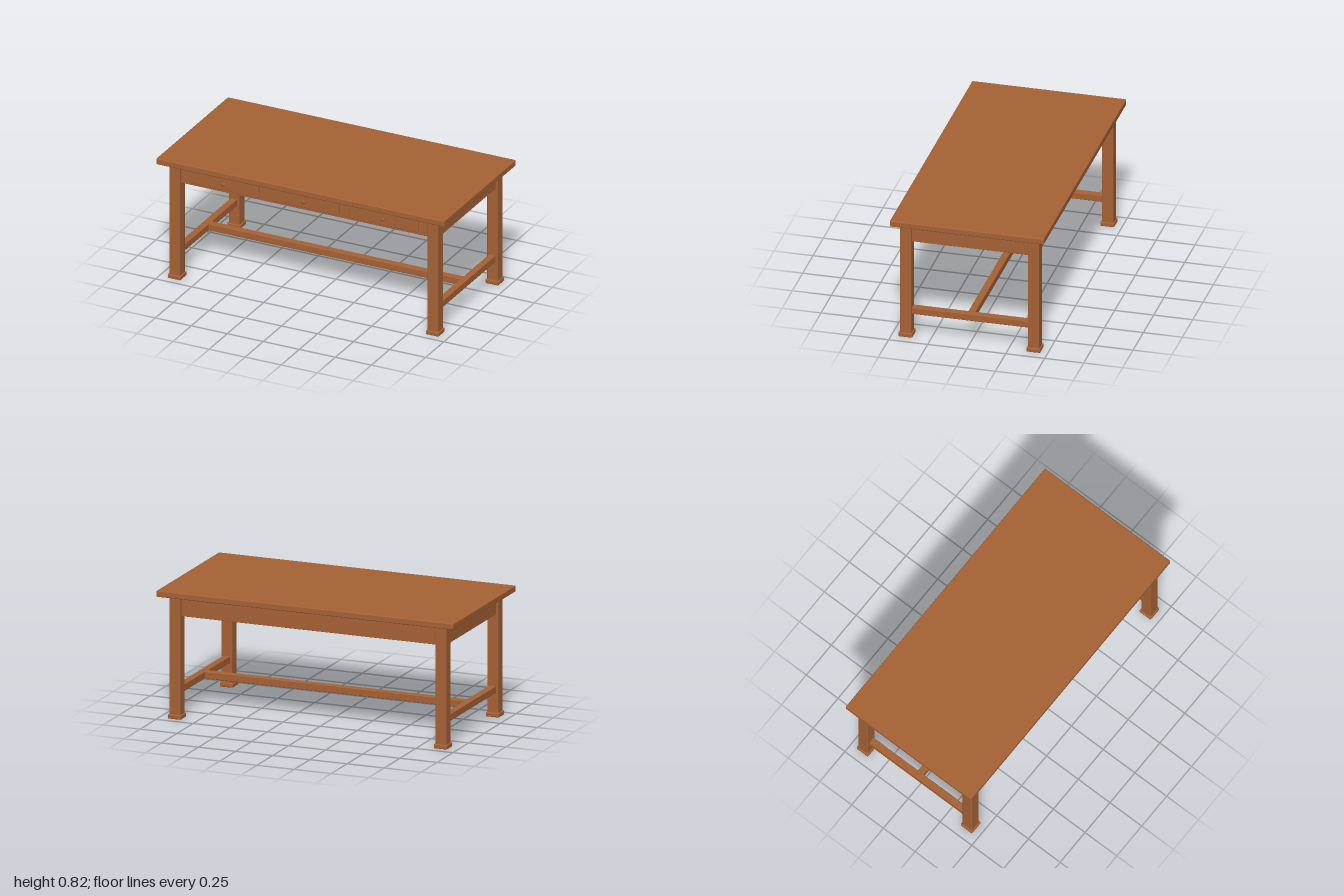
import * as THREE from 'three';
import { RoundedBoxGeometry } from 'three/addons/geometries/RoundedBoxGeometry.js';

export function createModel() {
  const table = new THREE.Group();
  table.name = 'writingTable';
  const wood = new THREE.MeshStandardMaterial({ color: 0xa66235 });
  wood.name = 'warm brown wood';

  // Softly rounded board, placed by its centre
  function board(name, [w, h, d], [x, y, z], radius = 0.004) {
    const mesh = new THREE.Mesh(new RoundedBoxGeometry(w, h, d, 2, radius), wood);
    mesh.name = name;
    mesh.position.set(x, y, z);
    table.add(mesh);
    return mesh;
  }

  // Table top
  board('tableTop', [2, 0.04, 0.988], [0, 0.805, 0], 0.006);

  // Legs with wider block feet
  const legX = 0.896, legZ = 0.41;
  for (const sx of [-1, 1]) {
    for (const sz of [-1, 1]) {
      board('leg', [0.074, 0.765, 0.074], [sx * legX, 0.403, sz * legZ], 0.006);
      board('foot', [0.089, 0.028, 0.089], [sx * legX, 0.014, sz * legZ], 0.006);
    }
    // Side rails between the legs
    board('sideApron', [0.03, 0.127, 0.76], [sx * 0.903, 0.7225, 0], 0.002);
    board('sideStretcher', [0.045, 0.045, 0.75], [sx * legX, 0.178, 0], 0.004);
  }

  // Long rails
  for (const sz of [-1, 1]) {
    board(sz > 0 ? 'frontApron' : 'backApron', [1.73, 0.127, 0.03], [0, 0.7225, sz * 0.411], 0.002);
  }
  board('centreStretcher', [1.755, 0.045, 0.045], [0, 0.178, 0], 0.004);

  // Drawer fronts with turned knobs
  const knobProfile = [[0, 0], [0.006, 0], [0.006, 0.005], [0.012, 0.009], [0.013, 0.013], [0.009, 0.017], [0, 0.019]]
    .map(([r, h]) => new THREE.Vector2(r, h));
  const knobGeometry = new THREE.LatheGeometry(knobProfile, 20);
  knobGeometry.rotateX(Math.PI / 2);
  for (const x of [-0.555, 0, 0.55]) {
    board('drawerFront', [0.475, 0.09, 0.016], [x, 0.72, 0.426], 0.003);
    const knob = new THREE.Mesh(knobGeometry, wood);
    knob.name = 'drawerKnob';
    knob.position.set(x, 0.72, 0.4335);
    table.add(knob);
  }

  return table;
}
